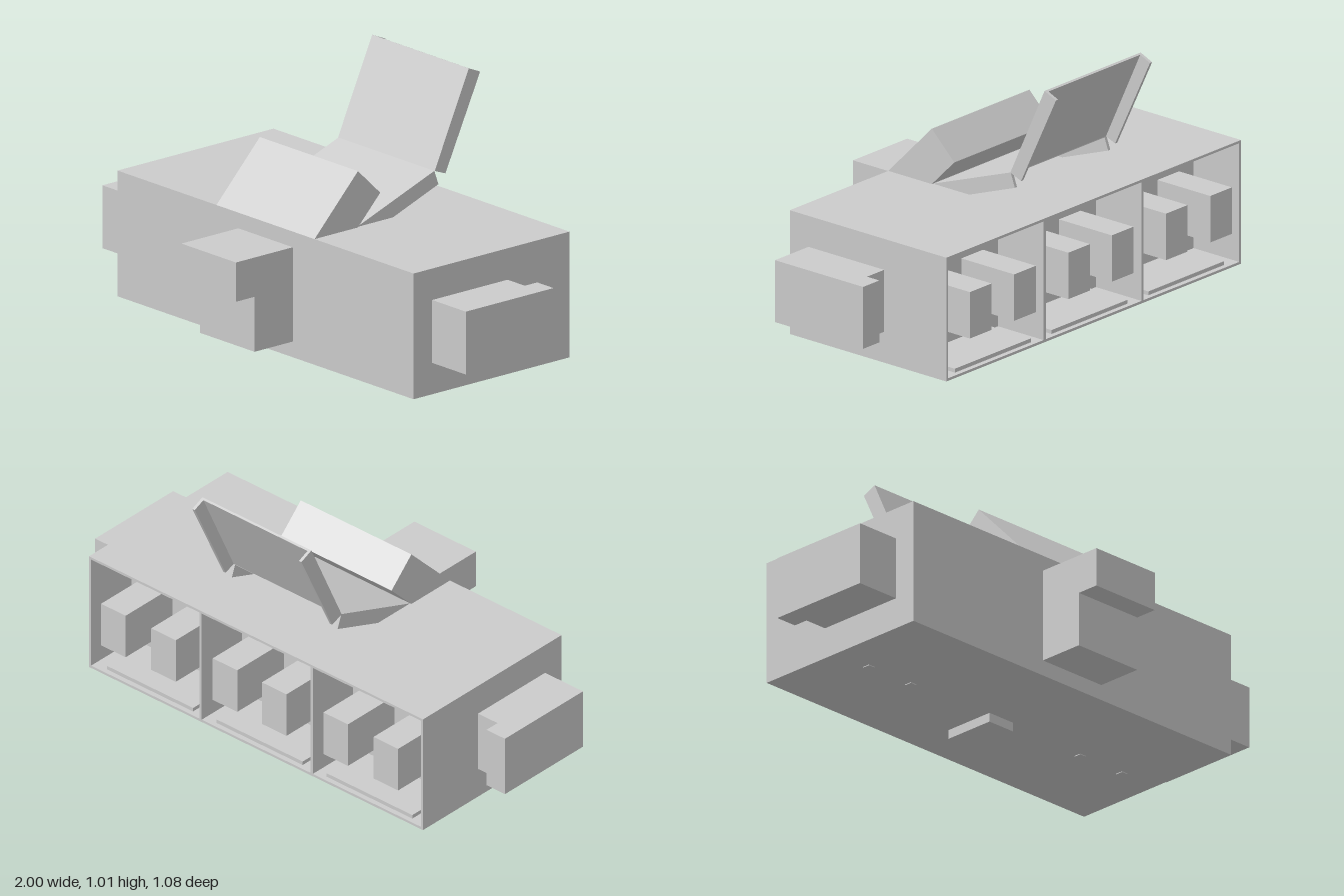
import * as THREE from 'three';

const material = new THREE.MeshStandardMaterial({ color: 0xcccccc, side: THREE.DoubleSide, flatShading: true });

export function createModel() {
  const model = new THREE.Group();

  const add = (name, geometry) => {
    const mesh = new THREE.Mesh(geometry, material);
    mesh.name = name;
    model.add(mesh);
    return mesh;
  };
  // Box given by its limits on each axis
  const box = (name, [x0, x1], [y0, y1], [z0, z1]) => {
    const g = new THREE.BoxGeometry(x1 - x0, y1 - y0, z1 - z0);
    g.translate((x0 + x1) / 2, (y0 + y1) / 2, (z0 + z1) / 2);
    return add(name, g);
  };
  // Side profile of [z, y] points extruded across x
  const slab = (name, profile, x0, x1) => {
    const shape = new THREE.Shape(profile.map(([z, y]) => new THREE.Vector2(z, y)));
    const g = new THREE.ExtrudeGeometry(shape, { depth: x1 - x0, bevelEnabled: false });
    g.rotateY(-Math.PI / 2).translate(x1, 0, 0);
    return add(name, g);
  };
  const lerp = (p, q, t) => [p[0] + (q[0] - p[0]) * t, p[1] + (q[1] - p[1]) * t];
  // Thin folded sheet along a-b with a flange down each side
  const channel = (name, [a, b, c, d], half) => {
    const t = 0.012;
    slab(name + 'Sheet', [a, b, lerp(b, c, 0.15), lerp(a, d, 0.15)], -half, half);
    slab(name + 'FlangeLeft', [a, b, c, d], half - t, half);
    slab(name + 'FlangeRight', [a, b, c, d], -half, -half + t);
  };

  // Housing, open at the back
  const W = 0.815, y0 = 0.035, y1 = 0.515, back = -0.49, wall = 0.01, recess = -0.27;
  box('housingFront', [-W, W], [y0, y1], [recess, 0.265]);
  box('housingRoof', [-W, W], [y1 - wall, y1], [back, recess]);
  box('housingFloor', [-W, W], [y0, y0 + wall], [back, recess]);
  for (const s of [-1, 1]) {
    const span = (a, b) => (s > 0 ? [a, b] : [-b, -a]);
    box('housingSide', span(W - wall, W), [y0, y1], [back, recess]);
    box('divider', span(0.265, 0.277), [y0, y1], [back, recess]);

    // Hooked block on each end
    box('sideBlock', span(W, 0.91), [0.155, 0.395], [-0.19, 0.175]);
    box('sideBlockHook', span(0.91, 1), [0.155, 0.395], [-0.25, 0.175]);

    // Rear plugs and small pins beneath
    for (const x of [0.12, 0.42, 0.665]) {
      box('rearPlug', span(x - 0.06, x + 0.06), [0.185, 0.365], [-0.525, recess]);
    }
    for (const x of [0.435, 0.65]) {
      box('bottomPin', span(x - 0.014, x + 0.014), [y0 - 0.003, y0 + 0.01], [-0.145, -0.115]);
    }
  }
  // Raised floor plates in the three bays
  for (const x of [-0.535, 0, 0.535]) {
    box('bayFloorPlate', [x - 0.21, x + 0.21], [y0 + wall, y0 + 0.025], [back + 0.02, recess]);
  }

  // Front latch and bottom foot
  slab('frontLatch', [[0.265, 0.095], [0.45, 0.095], [0.45, 0.305], [0.54, 0.305], [0.54, 0.455], [0.265, 0.455]], -0.15, 0.15);
  box('bottomFoot', [-0.06, 0.06], [0, y0], [-0.31, -0.1]);

  // Sloped top block and the folded lid behind it
  slab('topBlock', [[0.265, y1], [0.055, 0.73], [-0.053, 0.625], [0.055, y1]], -0.27, 0.27);
  channel('lowerLid', [[0.055, y1], [-0.32, 0.65], [-0.34, 0.595], [-0.12, y1]], 0.264);
  channel('upperLid', [[-0.32, 0.65], [-0.485, 1.007], [-0.54, 0.983], [-0.372, 0.63]], 0.266);

  return model;
}
